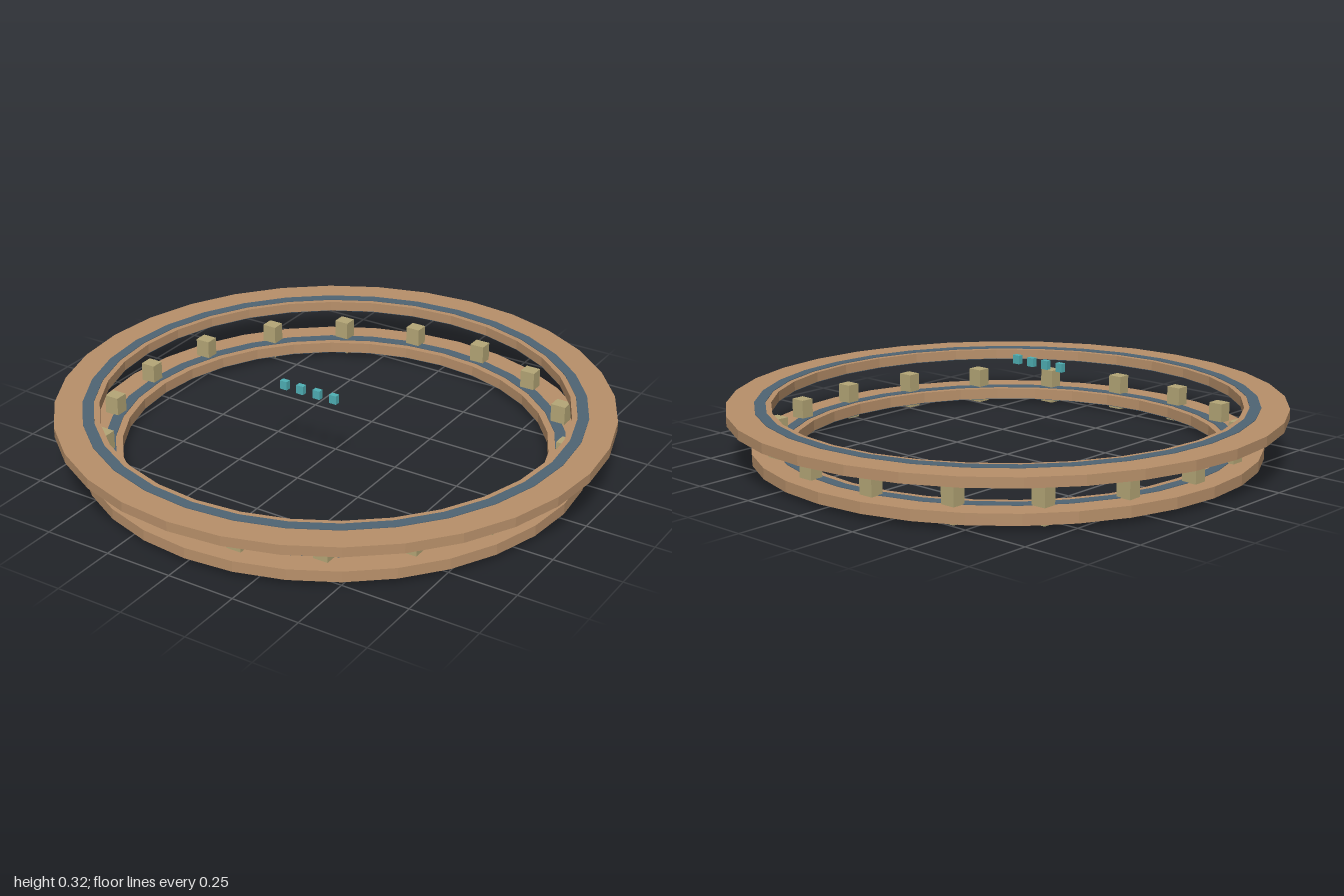
import * as THREE from 'three';

const SIDES = 32;

export function createModel() {
  const model = new THREE.Group();
  const tan = new THREE.MeshStandardMaterial({ name: 'tan', color: 0xb8906a });
  const slate = new THREE.MeshStandardMaterial({ name: 'slate blue', color: 0x4f6474 });
  const khaki = new THREE.MeshStandardMaterial({ name: 'khaki', color: 0xb5a777 });
  const teal = new THREE.MeshStandardMaterial({ name: 'teal', color: 0x4fb0b5 });

  const add = (name, geometry, material, parent = model) => {
    const mesh = new THREE.Mesh(geometry, material);
    mesh.name = name;
    parent.add(mesh);
    return mesh;
  };

  // Faceted ring with a rectangular section
  const ring = (inner, outer, bottom, top) => {
    const profile = [[inner, bottom], [outer, bottom], [outer, top], [inner, top], [inner, bottom]]
      .map(([r, y]) => new THREE.Vector2(r, y));
    const geometry = new THREE.LatheGeometry(profile, SIDES).toNonIndexed();
    geometry.computeVertexNormals();
    return geometry;
  };

  // Two ring decks, each with a narrow track on top and a wider one below
  const decks = [
    { name: 'upper', inner: 0.84, outer: 1, bottom: 0.167, top: 0.203, track: [0.86, 0.9], under: [0.841, 0.92] },
    { name: 'lower', inner: 0.765, outer: 0.915, bottom: 0.02, top: 0.06, track: [0.79, 0.83], under: [0.766, 0.85] },
  ];
  for (const d of decks) {
    const deck = new THREE.Group();
    deck.name = d.name + 'Deck';
    model.add(deck);
    add(d.name + 'Ring', ring(d.inner, d.outer, d.bottom, d.top), tan, deck);
    add(d.name + 'TopTrack', ring(...d.track, d.top - 0.001, d.top + 0.002), slate, deck);
    add(d.name + 'UnderTrack', ring(...d.under, d.bottom - 0.002, d.bottom + 0.001), slate, deck);
  }

  // Eighteen upright blocks, all square to the axes, spaced around the lower ring
  const blocks = new THREE.Group();
  blocks.name = 'blocks';
  model.add(blocks);
  const blockGeometry = new THREE.BoxGeometry(0.056, 0.13, 0.05);
  for (let i = 0; i < 18; i++) {
    const a = (i * Math.PI) / 9;
    add('block', blockGeometry, khaki, blocks)
      .position.set(0.828 * Math.cos(a), 0.065, 0.828 * Math.sin(a));
  }

  // Row of four small floating markers
  const markerGeometry = new THREE.BoxGeometry(0.028, 0.032, 0.02);
  for (let i = 0; i < 4; i++) {
    add('marker', markerGeometry, teal).position.set((i - 1.5) * 0.068, 0.307, 0.17);
  }

  return model;
}
